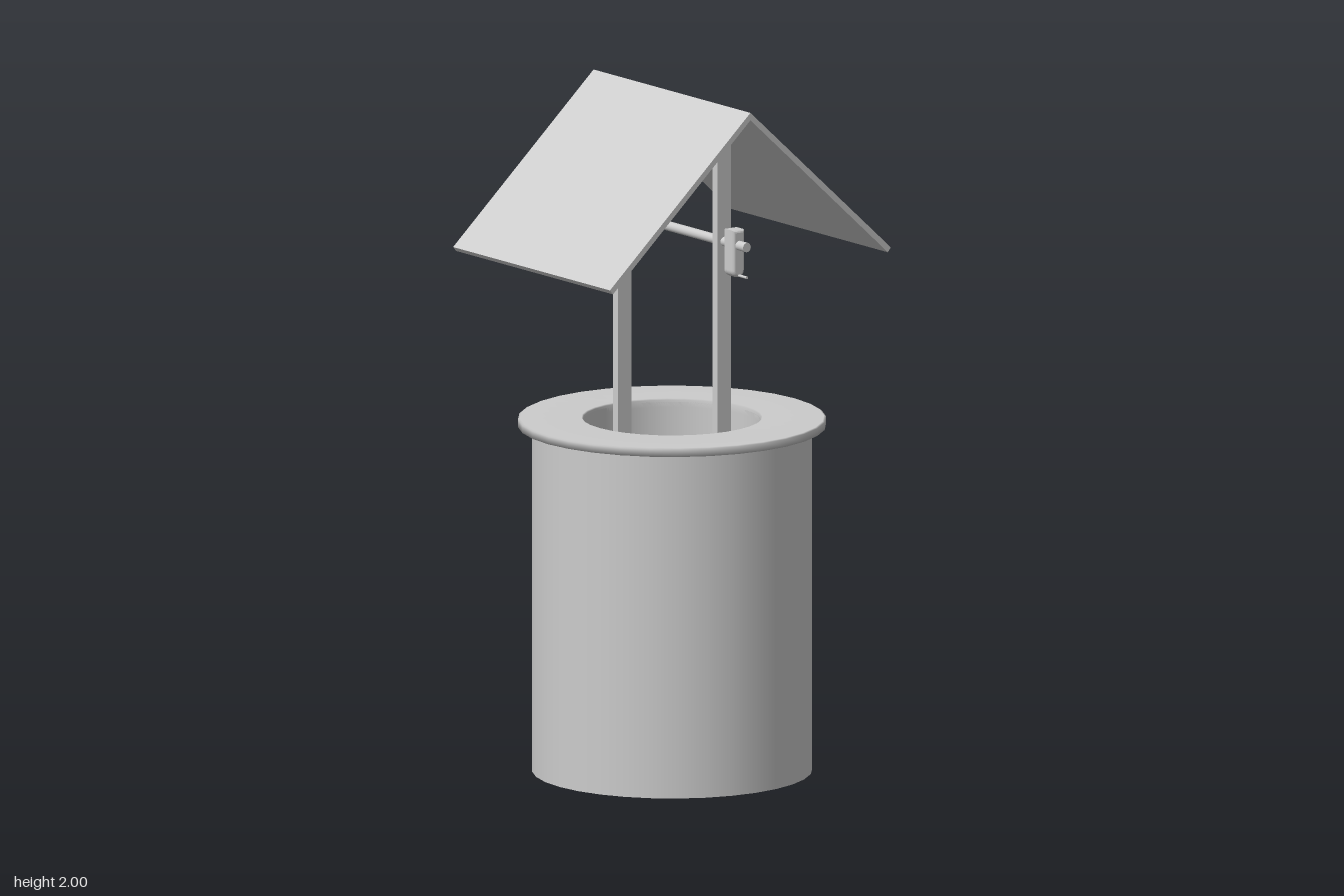
import * as THREE from 'three';

export function createModel() {
  const model = new THREE.Group();
  const material = new THREE.MeshStandardMaterial({ color: 0xcccccc });
  const thin = new THREE.MeshStandardMaterial({ color: 0xcccccc, side: THREE.DoubleSide });

  const add = (name, geometry, x = 0, y = 0, z = 0, mat = material) => {
    const mesh = new THREE.Mesh(geometry, mat);
    mesh.name = name;
    mesh.position.set(x, y, z);
    model.add(mesh);
    return mesh;
  };
  // Cylinder lying along x between two ends
  const rod = (name, radius, x0, x1, y) =>
    add(name, new THREE.CylinderGeometry(radius, radius, x1 - x0, 16).rotateZ(Math.PI / 2), (x0 + x1) / 2, y);

  const SIDES = 32;
  const WALL = 0.405, SHAFT = 0.257, RIM = 0.445;
  const FLOOR_Y = 0.03, RIM_Y = 1.015, RIM_TOP = 1.04;

  // Outer wall, open at the bottom, and the inner shaft with its floor
  add('outerWall', new THREE.CylinderGeometry(WALL, WALL, RIM_Y, SIDES, 1, true), 0, RIM_Y / 2, 0, thin);
  const depth = RIM_TOP - 0.01 - FLOOR_Y;
  add('shaftWall', new THREE.CylinderGeometry(SHAFT, SHAFT, depth, SIDES, 1, true), 0, FLOOR_Y + depth / 2, 0, thin);
  add('shaftFloor', new THREE.CircleGeometry(SHAFT, SIDES).rotateX(Math.PI / 2), 0, FLOOR_Y, 0, thin);

  // Overhanging rim with softly shaded edges
  const rimProfile = [
    [SHAFT, RIM_Y], [RIM, RIM_Y], [RIM, RIM_TOP - 0.003], [RIM - 0.006, RIM_TOP],
    [SHAFT + 0.004, RIM_TOP], [SHAFT, RIM_TOP - 0.004], [SHAFT, RIM_Y],
  ].map(([r, y]) => new THREE.Vector2(r, y));
  add('rim', new THREE.LatheGeometry(rimProfile, SIDES));

  // Posts reach down inside the shaft and up to the ridge
  const postBottom = 0.7, postTop = 1.965;
  for (const [name, side] of [['leftPost', 1], ['rightPost', -1]]) {
    add(name, new THREE.BoxGeometry(0.024, postTop - postBottom, 0.048), side * 0.241, (postTop + postBottom) / 2);
  }

  // Gable roof: a thin chevron extruded along x
  const chevron = new THREE.Shape([
    [0, 2], [-0.505, 1.54], [-0.494, 1.527], [0, 1.978], [0.494, 1.527], [0.505, 1.54],
  ].map(([z, y]) => new THREE.Vector2(z, y)));
  const roof = new THREE.ExtrudeGeometry(chevron, { depth: 0.758, bevelEnabled: false });
  roof.translate(0, 0, -0.379).rotateY(-Math.PI / 2);
  add('roof', roof);

  // Axle between the posts
  rod('axle', 0.014, -0.318, 0.362, 1.6);

  // Crank arm with a rounded lower end, and its handle
  const arm = new THREE.Shape();
  arm.moveTo(-0.013, 1.637);
  arm.lineTo(-0.013, 1.526);
  arm.absarc(0, 1.526, 0.013, Math.PI, 2 * Math.PI, false);
  arm.lineTo(0.013, 1.637);
  arm.closePath();
  const armGeometry = new THREE.ExtrudeGeometry(arm, {
    depth: 0.03, bevelThickness: 0.01, bevelSize: 0.008, bevelSegments: 3, curveSegments: 10,
  });
  armGeometry.translate(0, 0, -0.015).rotateY(-Math.PI / 2);
  add('crankArm', armGeometry, 0.3);
  rod('crankHandle', 0.004, 0.315, 0.363, 1.511);

  return model;
}
